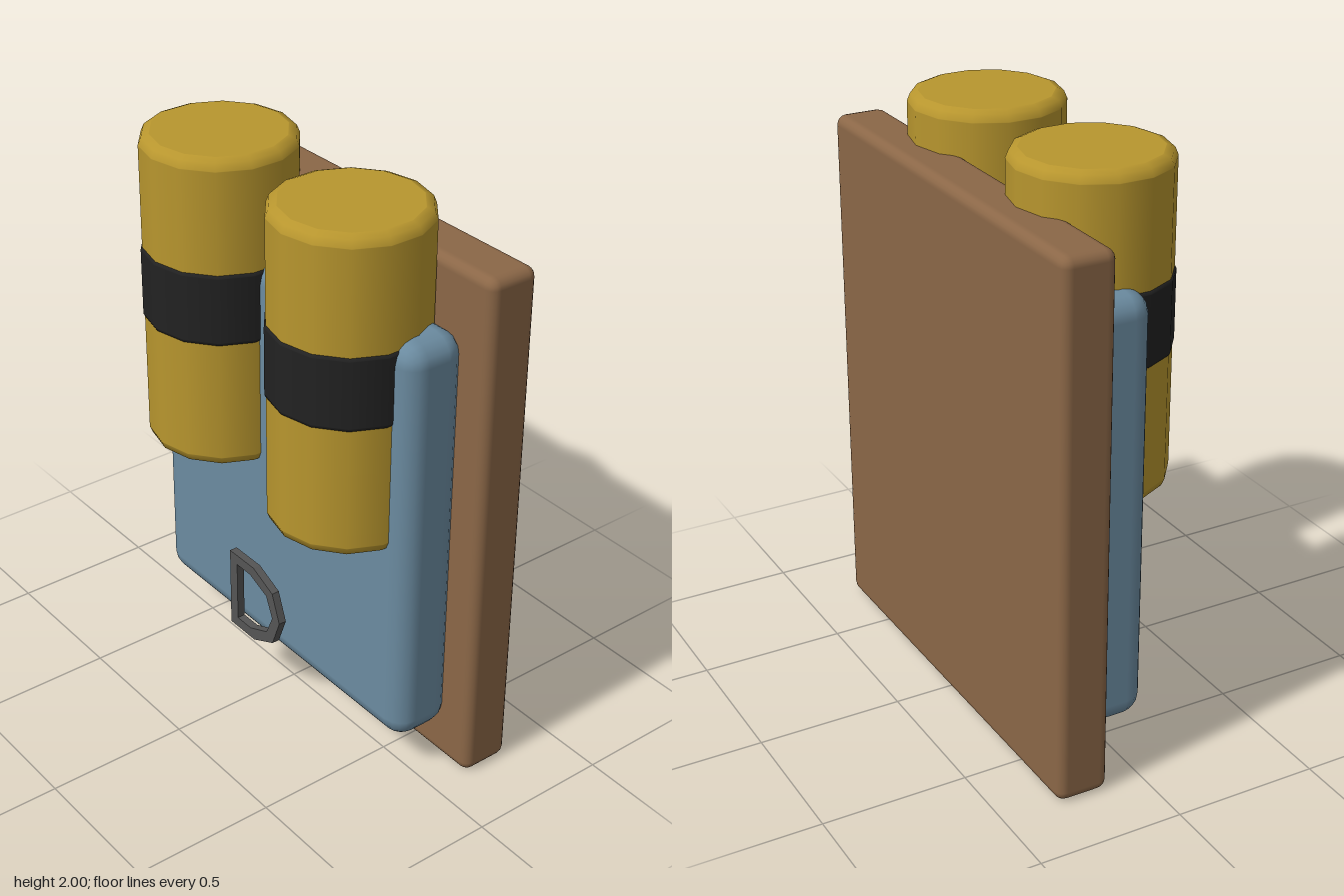
import * as THREE from 'three';
import { RoundedBoxGeometry } from 'three/addons/geometries/RoundedBoxGeometry.js';

const paint = (name, color) => {
  const m = new THREE.MeshStandardMaterial({ color });
  m.name = name;
  return m;
};

// Solid of revolution with softly rounded rims; extra loops keep the flats flat
function roundedCylinder(radius, y0, y1, bevel, sides) {
  const e = 0.002, rim = [];
  for (let i = 0; i <= 2; i++) {
    const a = (i / 2) * Math.PI / 2;
    rim.push([radius - bevel + bevel * Math.sin(a), bevel - bevel * Math.cos(a)]);
  }
  const half = [[0, 0], [radius - bevel - e, 0], ...rim, [radius, bevel + e]];
  const points = [
    ...half.map(([r, h]) => new THREE.Vector2(r, y0 + h)),
    ...half.reverse().map(([r, h]) => new THREE.Vector2(r, y1 - h)),
  ];
  return new THREE.LatheGeometry(points, sides);
}

export function createModel() {
  const brown = paint('brown board', 0x8b6747);
  const blue = paint('blue panel', 0x6b8ba0);
  const yellow = paint('yellow canister', 0xb8962e);
  const black = paint('black strap', 0x222222);
  const grey = paint('grey metal', 0x555555);

  const model = new THREE.Group();
  const add = (name, geometry, material, x, y, z) => {
    const mesh = new THREE.Mesh(geometry, material);
    mesh.name = name;
    mesh.position.set(x, y, z);
    model.add(mesh);
  };

  // Back board and the padded panel on its front
  add('backBoard', new RoundedBoxGeometry(1.552, 1.845, 0.183, 2, 0.035), brown, 0, 0.9275, -0.2175);
  add('frontPanel', new RoundedBoxGeometry(1.33, 1.48, 0.23, 2, 0.075), blue, 0, 0.895, -0.035);

  // Pair of canisters, each held by a strap
  for (const [side, s] of [['left', 1], ['right', -1]]) {
    add(side + 'Canister', roundedCylinder(0.261, 0.895, 2, 0.035, 14), yellow, s * 0.333, 0, 0.043);
    add(side + 'Strap', roundedCylinder(0.266, 1.355, 1.612, 0.012, 14), black, s * 0.333, 0, 0.043);
  }

  // Flat half-round ring in front of the panel
  const outline = (pts) => pts.map(([x, y]) => new THREE.Vector2(x, y));
  const ring = new THREE.Shape(outline([
    [-0.135, 0.241], [0, 0.241], [0.105, 0.289], [0.144, 0.392], [0.105, 0.495], [0, 0.543], [-0.135, 0.543],
  ]));
  ring.holes.push(new THREE.Path(outline([
    [-0.095, 0.279], [-0.095, 0.505], [-0.02, 0.505], [0.071, 0.467], [0.104, 0.392], [0.071, 0.317], [-0.02, 0.279],
  ])));
  add('halfRoundRing', new THREE.ExtrudeGeometry(ring, { depth: 0.028, bevelEnabled: false }), grey, 0, 0, 0.146);

  return model;
}
